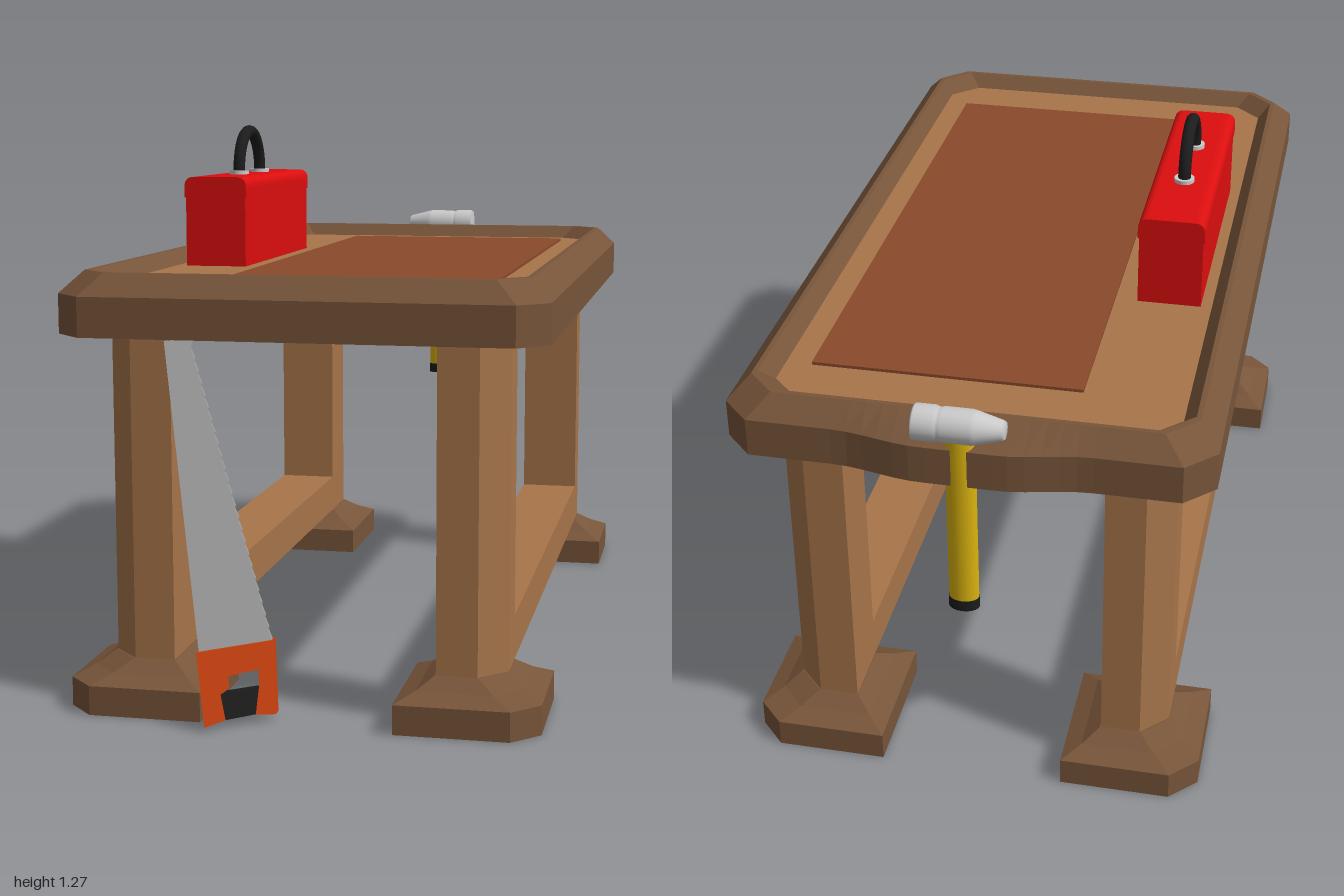
import * as THREE from 'three';

const mat = (color, extra = {}) => new THREE.MeshStandardMaterial({ color, ...extra });
const M = {
  darkWood: mat(0x78553a, { flatShading: true }),
  lightWood: mat(0xa8754b, { flatShading: true }),
  mat: mat(0x8a4a2b),
  red: mat(0xdd0e0e),
  black: mat(0x1c1c1c),
  metal: mat(0xc4c4c4),
  blade: mat(0x9c9c9c),
  yellow: mat(0xdcb40f),
  orange: mat(0xc8400f),
};

function add(parent, name, geometry, material, x = 0, y = 0, z = 0) {
  const mesh = new THREE.Mesh(geometry, material);
  mesh.name = name;
  mesh.position.set(x, y, z);
  parent.add(mesh);
  return mesh;
}

// Skin a stack of rings (arrays of [x, y, z]) and cap either end
function loft(rings, capBottom = true, capTop = true) {
  const pos = [];
  const tri = (...p) => p.forEach((q) => pos.push(...q));
  const n = rings[0].length;
  const cap = (ring, up) => {
    const c = [0, 1, 2].map((k) => ring.reduce((s, p) => s + p[k], 0) / n);
    ring.forEach((p, i) => {
      const q = ring[(i + 1) % n];
      up ? tri(c, p, q) : tri(c, q, p);
    });
  };
  for (let r = 0; r + 1 < rings.length; r++) {
    const a = rings[r], b = rings[r + 1];
    for (let i = 0; i < n; i++) {
      const j = (i + 1) % n;
      tri(a[i], a[j], b[j]);
      tri(a[i], b[j], b[i]);
    }
  }
  if (capBottom) cap(rings[0], false);
  if (capTop) cap(rings[rings.length - 1], true);
  const g = new THREE.BufferGeometry();
  g.setAttribute('position', new THREE.Float32BufferAttribute(pos, 3));
  g.computeVertexNormals();
  return g;
}

// Chamfered rectangle of the table top, with a swelling in the back edge
function topRing(inset, y, bulge = 0) {
  const x = 0.53 - inset, z1 = 0.96 - inset, z0 = -0.95 + inset, c = 0.065;
  const ring = [[-x + c, y, z1], [x - c, y, z1], [x, y, z1 - c], [x, y, z0 + c], [x - c, y, z0]];
  for (let i = 0; i <= 16; i++) {
    const px = 0.28 - 0.035 * i;
    const w = THREE.MathUtils.smoothstep(0.28 - Math.abs(px), 0, 0.2);
    ring.push([px, y, z0 - bulge * w]);
  }
  ring.push([-x + c, y, z0], [-x, y, z0 + c], [-x, y, z1 - c]);
  return ring;
}

// Square post section whose outer corner is cut off, mirrored into a quadrant
function postRing(y, x0, x1, z0, z1, sx, sz) {
  const c = 0.06;
  const ring = [[x0, z1], [x1 - c, z1], [x1, z1 - c], [x1, z0], [x0, z0]]
    .map(([x, z]) => [x * sx, y, z * sz]);
  return sx * sz < 0 ? ring.reverse() : ring;
}

function buildTable() {
  const table = new THREE.Group();
  table.name = 'workbench';
  add(table, 'tableRim', loft([
    topRing(0, 0.828, 0.03), topRing(0, 0.915, 0.03), topRing(0.045, 0.963),
    topRing(0.056, 0.963), topRing(0.085, 0.93),
  ], true, false), M.darkWood);
  add(table, 'tableSurface', loft([topRing(0.085, 0.9), topRing(0.085, 0.93)]), M.lightWood);
  add(table, 'workMat', new THREE.BoxGeometry(0.605, 0.008, 1.47), M.mat, 0.083, 0.933, 0.005);

  const frame = new THREE.Group();
  frame.name = 'legFrame';
  frame.position.z = 0.008;
  table.add(frame);
  for (const sx of [-1, 1]) {
    for (const sz of [-1, 1]) {
      const foot = (y, d) => postRing(y, 0.29 - d, 0.44 + d, 0.713 - d, 0.862 + d, sx, sz);
      add(frame, 'foot', loft([foot(0, 0.08), foot(0.065, 0.08), foot(0.085, 0.038), foot(0.11, 0.002)]), M.darkWood);
      add(frame, 'leg', loft([foot(0.1, 0), foot(0.835, 0)]), M.lightWood);
    }
    add(frame, 'sideRail', new THREE.BoxGeometry(0.15, 0.1, 1.44), M.lightWood, sx * 0.365, 0.16, 0);
  }
  return table;
}

function buildToolbox() {
  const box = new THREE.Group();
  box.name = 'toolbox';
  box.position.set(-0.345, 0.93, 0.007);
  add(box, 'toolboxBody', new THREE.BoxGeometry(0.148, 0.2, 0.63), M.red, 0, 0.1, 0);
  // Lid with rounded long edges
  const w = 0.077, r = 0.025, h = 0.05;
  const s = new THREE.Shape();
  s.moveTo(-w, 0).lineTo(w, 0).lineTo(w, h - r).quadraticCurveTo(w, h, w - r, h);
  s.lineTo(-w + r, h).quadraticCurveTo(-w, h, -w, h - r);
  const lid = new THREE.ExtrudeGeometry(s, { depth: 0.636, bevelEnabled: false, curveSegments: 6 });
  add(box, 'toolboxLid', lid, M.red, 0, 0.165, -0.318);
  // Arched handle on two washers
  const arch = add(box, 'toolboxHandle', new THREE.TorusGeometry(0.1, 0.015, 12, 28, Math.PI), M.black, 0, 0.222, 0);
  arch.rotation.y = Math.PI / 2;
  for (const s of [-1, 1]) {
    add(box, 'handleWasher', new THREE.CylinderGeometry(0.024, 0.024, 0.01, 20), M.metal, 0, 0.219, s * 0.1);
    add(box, 'handlePost', new THREE.CylinderGeometry(0.015, 0.015, 0.02, 12), M.black, 0, 0.216, s * 0.1);
  }
  return box;
}

function buildHammer() {
  const hammer = new THREE.Group();
  hammer.name = 'hammer';
  hammer.position.set(0, 0, -0.96);
  const profile = [[0, -0.1], [0.018, -0.1], [0.022, -0.094], [0.036, -0.04], [0.038, -0.03],
    [0.038, 0.03], [0.036, 0.036], [0.036, 0.042], [0.039, 0.048], [0.039, 0.09], [0.037, 0.094], [0, 0.094]];
  const head = add(hammer, 'hammerHead',
    new THREE.LatheGeometry(profile.map((p) => new THREE.Vector2(...p)), 24), M.metal, 0, 0.965, 0);
  head.rotation.z = -Math.PI / 2;
  const oval = (h) => new THREE.CylinderGeometry(0.033, 0.033, h, 20).scale(1, 1, 0.72);
  add(hammer, 'hammerHandle', oval(0.43), M.yellow, -0.003, 0.745, 0);
  add(hammer, 'hammerHandleCap', oval(0.026).scale(1.04, 1, 1.04), M.black, -0.003, 0.518, 0);
  return hammer;
}

// Extrude a front outline, then lean it onto the saw's tilted plane
function leaning(points, depth, hole) {
  const toV = (p) => new THREE.Vector2(...p);
  const shape = new THREE.Shape(points.map(toV));
  if (hole) shape.holes.push(new THREE.Path(hole.map(toV)));
  const g = new THREE.ExtrudeGeometry(shape, { depth, bevelEnabled: false });
  const p = g.attributes.position;
  for (let i = 0; i < p.count; i++) {
    const lean = 0.97 - 0.8 * (p.getX(i) + 0.2) - 0.27 * (p.getY(i) - 0.17);
    p.setZ(i, p.getZ(i) - depth / 2 + lean);
  }
  g.computeVertexNormals();
  return g;
}

function buildSaw() {
  const saw = new THREE.Group();
  saw.name = 'handSaw';
  // Blade with a row of teeth down one edge
  const outline = [[-0.3, 0.815], [-0.2, 0.15], [-0.07, 0.15]];
  const teeth = 24;
  for (let i = 0; i < teeth; i++) {
    const t = i / teeth, x = -0.07 - 0.18 * t, y = 0.17 + 0.63 * t;
    outline.push([x, y], [x - 0.008, y + 0.02]);
  }
  outline.push([-0.25, 0.815]);
  add(saw, 'sawBlade', leaning(outline, 0.008), M.blade);
  // Bracket handle with a dark grip across its lower end
  add(saw, 'sawHandle', leaning([
    [-0.205, 0.165], [-0.182, 0.01], [-0.145, 0.018], [-0.157, 0.072], [-0.147, 0.078], [-0.15, 0.108],
    [-0.09, 0.112], [-0.087, 0.078], [-0.09, 0.02], [-0.053, 0.014], [-0.066, 0.168],
  ], 0.024), M.orange);
  add(saw, 'sawGrip', leaning([[-0.147, 0.018], [-0.09, 0.02], [-0.084, 0.074], [-0.157, 0.074]], 0.02), M.black);
  return saw;
}

export function createModel() {
  const model = new THREE.Group();
  model.name = 'workbenchWithTools';
  model.add(buildTable(), buildToolbox(), buildHammer(), buildSaw());
  return model;
}
